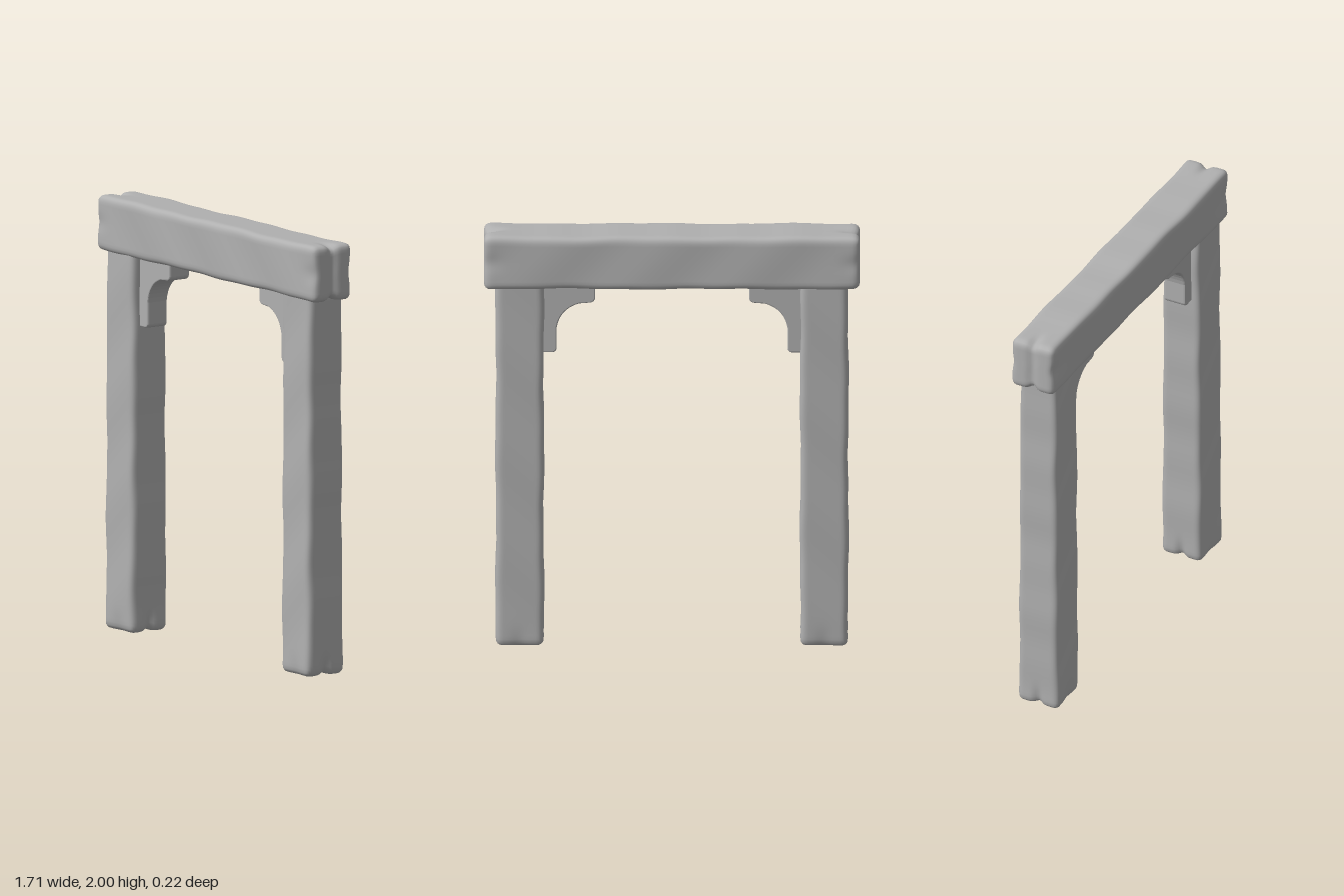
import * as THREE from 'three';
import { mergeVertices } from 'three/addons/utils/BufferGeometryUtils.js';

// Worn timber lying along x: rounded edges, gentle waviness, split end grain
function timber(length, height, depth, { taper = 0, split = 0.012, phase = 0, splitStart = true, splitEnd = true }) {
  const half = [length / 2, height / 2, depth / 2];
  const radius = 0.03;
  const geo = new THREE.BoxGeometry(length, height, depth, Math.round(length / 0.018), 18, 18);
  const pos = geo.attributes.position;
  const p = new THREE.Vector3();
  const core = new THREE.Vector3();
  for (let i = 0; i < pos.count; i++) {
    p.fromBufferAttribute(pos, i);
    core.fromArray(p.toArray().map((v, a) => THREE.MathUtils.clamp(v, radius - half[a], half[a] - radius)));
    p.sub(core).setLength(radius).add(core);

    // End split: pinch the ends along the middle of the depth
    const reach = half[0] - Math.abs(p.x);
    const active = p.x < 0 ? splitStart : splitEnd;
    const fade = active ? Math.exp(-((reach / 0.07) ** 2)) : 0;
    const cleft = Math.exp(-((p.z / 0.022) ** 2));
    const waist = Math.exp(-((p.y / 0.04) ** 2));
    p.x -= Math.sign(p.x) * split * cleft * fade;
    p.y *= 1 - (split * 1.6 / half[1]) * cleft * fade;
    p.z *= 1 - (split * 0.7 / half[2]) * waist * fade;

    // Slimmer towards +x, with a hand-hewn ripple
    p.z *= 1 - taper * (p.x / length + 0.5);
    const ripple = Math.sin(p.x * 9 + phase) + 0.6 * Math.sin(p.x * 23 + phase * 2 + p.y * 8);
    p.y += (0.0022 * ripple * p.y) / half[1];
    p.z += (0.0025 * Math.sin(p.x * 13 + phase + p.y * 12) * p.z) / half[2];
    pos.setXYZ(i, p.x, p.y, p.z);
  }
  geo.deleteAttribute('normal');
  geo.deleteAttribute('uv');
  const smooth = mergeVertices(geo, 1e-4);
  smooth.computeVertexNormals();
  return smooth;
}

// Curved corner brace, drawn for the +x side
function braceGeometry() {
  const s = new THREE.Shape();
  s.moveTo(0.61, 1.77);
  s.lineTo(0.355, 1.77);
  s.lineTo(0.355, 1.685);
  s.quadraticCurveTo(0.357, 1.67, 0.375, 1.668);
  s.lineTo(0.425, 1.664);
  s.quadraticCurveTo(0.515, 1.635, 0.53, 1.54);
  s.lineTo(0.53, 1.44);
  s.quadraticCurveTo(0.532, 1.427, 0.545, 1.427);
  s.lineTo(0.61, 1.427);
  s.closePath();
  const geo = new THREE.ExtrudeGeometry(s, {
    depth: 0.09, curveSegments: 8, bevelThickness: 0.01, bevelSize: 0.006, bevelSegments: 3,
  });
  return geo.translate(0, 0, -0.045);
}

export function createModel() {
  const model = new THREE.Group();
  model.name = 'timberFrame';
  const stone = new THREE.MeshStandardMaterial({ color: 0xb0b0b0 });
  stone.name = 'plainGrey';

  const add = (name, geo) => {
    const mesh = new THREE.Mesh(geo, stone);
    mesh.name = name;
    model.add(mesh);
    return mesh;
  };

  // Top beam
  add('lintel', timber(1.71, 0.255, 0.218, { phase: 0.4 })).position.y = 1.87;

  for (const side of [1, -1]) {
    const label = side > 0 ? 'left' : 'right';

    // Post, turned upright so its split end stands on the ground
    const post = timber(1.79, 0.218, 0.208, { taper: 0.08, split: 0.01, phase: side * 1.3, splitEnd: false });
    post.rotateZ(Math.PI / 2);
    add(`${label}Post`, post).position.set(side * 0.692, 0.9, 0);

    // Brace, mirrored by a half turn since it is symmetric front to back
    const brace = add(`${label}Brace`, braceGeometry());
    if (side < 0) brace.rotation.y = Math.PI;
  }
  return model;
}
